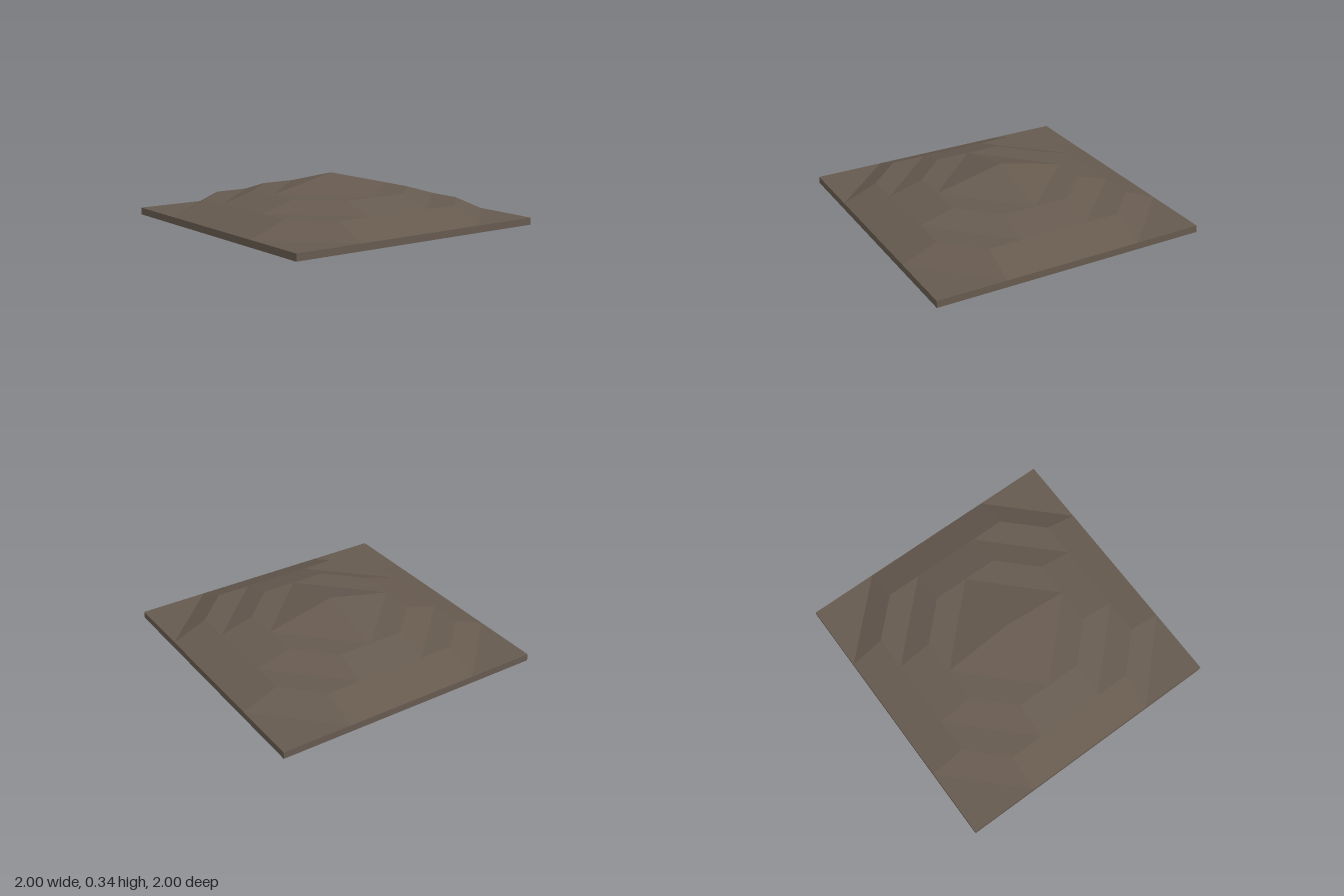
import * as THREE from 'three';

// Eight-sided ring (a = reach, b = half width of the straight sides) at height y
function ring([a, b, y]) {
  return [[a, b], [b, a], [-b, a], [-a, b], [-a, -b], [-b, -a], [b, -a], [a, -b]]
    .map(([x, z]) => new THREE.Vector3(x, y, -z));
}

// Joins consecutive rings with flat faces, leaving out collapsed triangles
function loft(profile) {
  const rings = profile.map(ring);
  const points = [];
  const addTriangle = (a, b, c) => {
    if (new THREE.Triangle(a, b, c).getArea() > 1e-6) points.push(a, b, c);
  };
  for (let r = 0; r < rings.length - 1; r++) {
    const low = rings[r], high = rings[r + 1];
    for (let i = 0; i < 8; i++) {
      const j = (i + 1) % 8;
      addTriangle(low[i], low[j], high[j]);
      addTriangle(low[i], high[j], high[i]);
    }
  }
  const geometry = new THREE.BufferGeometry().setFromPoints(points);
  geometry.computeVertexNormals();
  return geometry;
}

export function createModel() {
  const group = new THREE.Group();
  group.name = 'steppedMound';
  const earth = new THREE.MeshStandardMaterial({ color: 0x665a4f, flatShading: true });
  earth.name = 'earthBrown';

  const parts = {
    // Square slab with flat corners around the mound
    baseSlab: [[0, 0, 0], [1, 1, 0], [1, 1, 0.05], [1, 0.5, 0.05]],
    // Lower slope with its flat corner ledges
    lowerTerrace: [[1, 0.5, 0.05], [0.75, 0.5, 0.154], [0.75, 0.25, 0.154]],
    // Upper slope with its flat corner ledges
    upperTerrace: [[0.75, 0.25, 0.154], [0.5, 0.25, 0.226], [0.5, 0, 0.226]],
    // Four-sided diamond peak
    peak: [[0.5, 0, 0.226], [0, 0, 0.342]],
  };
  for (const [name, profile] of Object.entries(parts)) {
    const mesh = new THREE.Mesh(loft(profile), earth);
    mesh.name = name;
    group.add(mesh);
  }
  return group;
}
